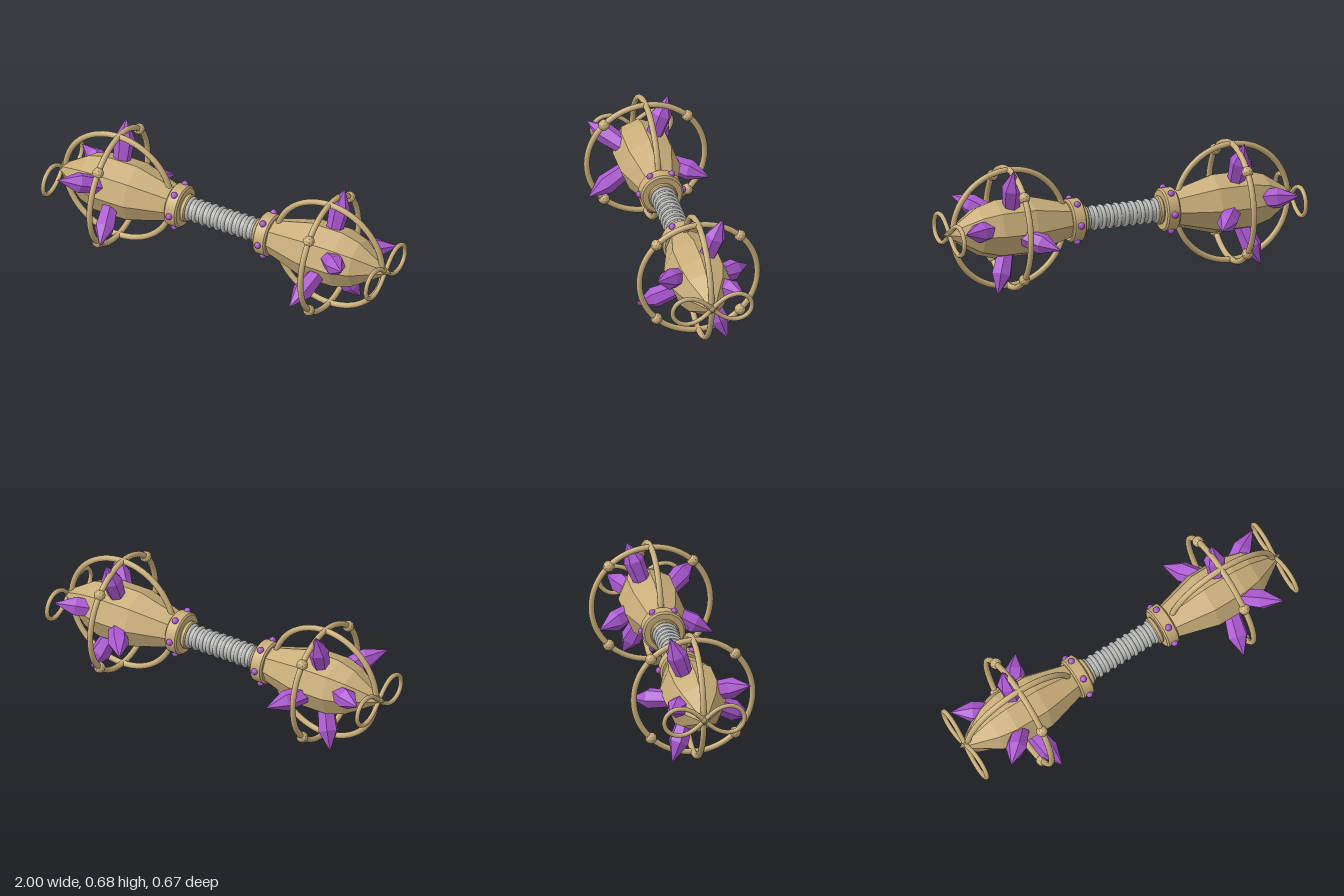
import * as THREE from 'three';
import { toCreasedNormals } from 'three/addons/utils/BufferGeometryUtils.js';

const AXIS_Y = 0.335; // height of the long axis
const HEAD_X = 0.63; // centre of each cage

function material(name, color) {
  const m = new THREE.MeshStandardMaterial({ color });
  m.name = name;
  return m;
}

function add(parent, name, geometry, mat) {
  const mesh = new THREE.Mesh(geometry, mat);
  mesh.name = name;
  parent.add(mesh);
  return mesh;
}

// Solid of revolution along x; profile holds [x, radius], mirrored by side
function turned(profile, sides, side, crease) {
  const points = profile.map(([x, r]) => new THREE.Vector2(r, x));
  const geo = new THREE.LatheGeometry(points, sides);
  geo.rotateZ(-side * Math.PI / 2);
  return toCreasedNormals(geo, crease);
}

// Figure-eight curve in the y-z plane
class FigureEight extends THREE.Curve {
  getPoint(t, target = new THREE.Vector3()) {
    const a = t * Math.PI * 2;
    const k = 0.213 / (1 + Math.sin(a) ** 2);
    return target.set(0, k * Math.sin(a) * Math.cos(a), k * Math.cos(a));
  }
}

// Crystals on the +x head: x of the root on the axis, then the tip
const CRYSTALS = [
  [0.625, [0.652, 0.684, -0.128]],
  [0.58, [0.85, 0.465, 0.27]],
  [0.65, [0.565, 0.169, 0.324]],
  [0.62, [0.745, 0.012, -0.132]],
  [0.67, [0.455, 0.273, -0.305]],
  [0.61, [0.945, 0.38, -0.18]],
];

export function createModel() {
  const gold = material('gold', 0xc9ae7a);
  const purple = material('purple crystal', 0xac58d2);
  const silver = material('silver', 0xb9b9b7);

  const model = new THREE.Group();
  model.name = 'doubleHeadedSceptre';
  const sceptre = new THREE.Group();
  sceptre.name = 'sceptre';
  sceptre.position.y = AXIS_Y;
  model.add(sceptre);

  // Ribbed grip
  const core = new THREE.CylinderGeometry(0.058, 0.058, 0.46, 24);
  add(sceptre, 'gripCore', core.rotateZ(Math.PI / 2), silver);
  const rib = new THREE.TorusGeometry(0.056, 0.012, 8, 28).rotateY(Math.PI / 2);
  for (let i = 0; i < 10; i++) {
    add(sceptre, 'gripRib', rib, silver).position.x = (i - 4.5) * 0.0435;
  }

  const ring = new THREE.TorusGeometry(0.317, 0.016, 10, 64);
  const crossRing = ring.clone().rotateY(Math.PI / 2);
  const knob = toCreasedNormals(new THREE.IcosahedronGeometry(0.031, 1), 0.1);
  const stud = new THREE.SphereGeometry(0.018, 12, 8);
  const loop = new THREE.TubeGeometry(new FigureEight(), 96, 0.0125, 8, true);

  for (const side of [1, -1]) {
    const head = new THREE.Group();
    head.name = side > 0 ? 'leftHead' : 'rightHead';
    sceptre.add(head);

    // Faceted body
    const body = [[0.29, 0], [0.29, 0.095], [0.52, 0.16], [0.71, 0.16],
      [0.81, 0.13], [0.96, 0.028], [1, 0]];
    add(head, 'body', turned(body, 8, side, 0.01), gold);

    // Collar and flange between grip and body
    const collar = [[0.228, 0], [0.228, 0.105], [0.236, 0.115], [0.294, 0.115],
      [0.302, 0.105], [0.302, 0]];
    add(head, 'collar', turned(collar, 32, side, 0.5), gold);
    const flange = [[0.2, 0], [0.2, 0.07], [0.206, 0.076], [0.222, 0.076], [0.23, 0.07]];
    add(head, 'flange', turned(flange, 28, side, 0.5), gold);
    for (let i = 0; i < 6; i++) {
      const a = i * Math.PI / 3;
      add(head, 'collarStud', stud, purple)
        .position.set(side * 0.265, 0.117 * Math.sin(a), 0.117 * Math.cos(a));
    }

    // Cage of two crossing rings with four knobs
    add(head, 'cageRing', ring, gold).position.x = side * HEAD_X;
    add(head, 'crossRing', crossRing, gold).position.x = side * HEAD_X;
    for (let i = 0; i < 4; i++) {
      const a = (i + 0.5) * Math.PI / 2;
      add(head, 'knob', knob, gold)
        .position.set(side * HEAD_X, 0.317 * Math.sin(a), 0.317 * Math.cos(a));
    }

    // Figure-eight loop at the end
    add(head, 'endLoop', loop, gold).position.x = side * 0.965;

    // Six-sided crystals growing out of the body
    for (const [rootX, [x, y, z]] of CRYSTALS) {
      const root = new THREE.Vector3(side * rootX, 0, 0);
      const dir = new THREE.Vector3(side * x, y - AXIS_Y, z).sub(root);
      const length = dir.length();
      const profile = [[0, 0], [0.03, 0.036], [0.7 * length, 0.056], [length, 0]]
        .map(([h, r]) => new THREE.Vector2(r, h));
      const geo = toCreasedNormals(new THREE.LatheGeometry(profile, 6), 0.01);
      const crystal = add(head, 'crystal', geo, purple);
      crystal.position.copy(root);
      crystal.quaternion.setFromUnitVectors(new THREE.Vector3(0, 1, 0), dir.normalize());
    }
  }
  return model;
}
